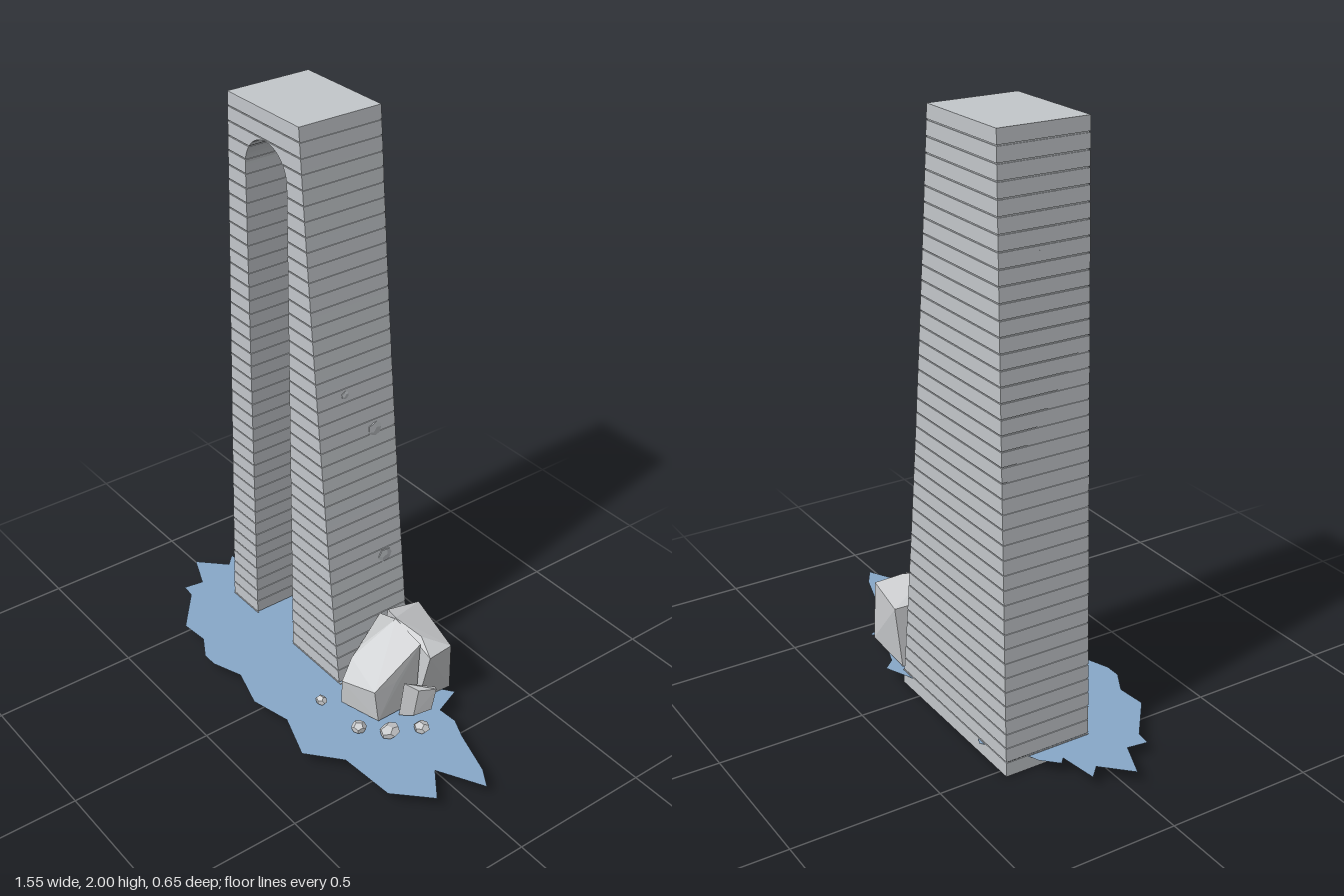
import * as THREE from 'three';
import { mergeGeometries } from 'three/addons/utils/BufferGeometryUtils.js';
import { ConvexGeometry } from 'three/addons/geometries/ConvexGeometry.js';

const FRONT = 0.02, BACK = -0.285, NICHE = -0.15;   // depth planes of the tower
const COURSE = 2 / 41, JOINT = 0.004, INSET = 0.003; // masonry courses
const CX = -0.277, RADIUS = 0.108, SPRING = 1.792;  // arched niche

// Outline of the tower at height y
const leftEdge = y => -0.535 + 0.0315 * y;
const rightEdge = y => 0.106 - 0.106 * y - 0.011 * y * (2 - y);
const nicheHalf = y => y <= SPRING ? RADIUS
  : Math.sqrt(Math.max(0, RADIUS ** 2 - (y - SPRING) ** 2));

// Extruded band between two edge functions
function band(y0, y1, edgeA, edgeB, z0, z1) {
  const n = 5, pts = [];
  for (let i = 0; i <= n; i++) {
    const y = y0 + (y1 - y0) * i / n;
    pts.push(new THREE.Vector2(edgeB(y), y));
    pts.unshift(new THREE.Vector2(edgeA(y), y));
  }
  return new THREE.ExtrudeGeometry(new THREE.Shape(pts), { depth: z1 - z0, bevelEnabled: false })
    .translate(0, 0, z0);
}

// One layer of stone: a full back part and two legs beside the niche
function layer(y0, y1, inset) {
  const a = y => leftEdge(y) + inset, b = y => rightEdge(y) - inset;
  const half = y => { const h = nicheHalf(y); return h > 0 ? h + inset : 0; };
  if (nicheHalf(y0) === 0) return [band(y0, y1, a, b, BACK + inset, FRONT - inset)];
  return [
    band(y0, y1, a, b, BACK + inset, NICHE - inset),
    band(y0, y1, a, y => CX - half(y), NICHE - inset, FRONT - inset),
    band(y0, y1, y => CX + half(y), b, NICHE - inset, FRONT - inset),
  ];
}

function box(x0, x1, z0, z1) {
  return new THREE.BoxGeometry(x1 - x0, COURSE, z1 - z0).toNonIndexed()
    .translate((x0 + x1) / 2, COURSE / 2, (z0 + z1) / 2);
}

export function createModel() {
  const model = new THREE.Group();
  const mat = (name, color, extra = {}) => {
    const m = new THREE.MeshStandardMaterial({ color, ...extra });
    m.name = name;
    return m;
  };
  const stone = mat('stone', 0xc3c7cb);
  const rubble = mat('rubble stone', 0xcaccce, { flatShading: true });
  const water = mat('water', 0x88a8c8, { side: THREE.DoubleSide });
  const add = (name, geometry, material, parent = model) => {
    const mesh = new THREE.Mesh(geometry, material);
    mesh.name = name;
    parent.add(mesh);
    return mesh;
  };

  // Tower courses separated by narrow recessed joints
  const courses = [], joints = [];
  for (let i = 1; i < 41; i++) {
    const y0 = i * COURSE, y1 = y0 + COURSE;
    joints.push(...layer(y0, y0 + JOINT, INSET));
    courses.push(...layer(y0 + JOINT, y1, 0));
  }
  add('towerCourses', mergeGeometries(courses), stone);
  add('towerJoints', mergeGeometries(joints), stone);

  // Hollow footing below the water line
  const L = leftEdge(0), R = rightEdge(0), t = 0.004;
  add('towerFooting', mergeGeometries([
    box(L, R, BACK, BACK + t),
    box(L, L + t, BACK, FRONT),
    box(R - t, R, BACK, FRONT),
    box(L, CX - RADIUS, FRONT - t, FRONT),
    box(CX + RADIUS, R, FRONT - t, FRONT),
  ]), stone);

  // Ragged sheet of water, corners as x, z
  const shore = [
    [-.78, .03], [-.69, -.06], [-.73, -.10], [-.60, -.12], [-.62, -.14], [-.57, -.19], [-.5, -.22],
    [-.395, -.297], [-.3, -.25], [-.1, -.22], [.03, -.28], [.145, -.33], [.18, -.29], [.33, -.24],
    [.37, -.27], [.41, -.17], [.48, -.175], [.55, -.145], [.71, -.095], [.775, -.055], [.62, .03],
    [.72, .105], [.61, .215], [.41, .23], [.30, .325], [.14, .27], [0, .305], [-.14, .265],
    [-.245, .305], [-.3, .305], [-.38, .26], [-.48, .27], [-.62, .155], [-.67, .15], [-.66, .08],
  ].map(([x, z]) => new THREE.Vector2(x, -z));
  add('water', new THREE.ShapeGeometry(new THREE.Shape(shore)).rotateX(-Math.PI / 2)
    .translate(0, 0.046, 0), water);

  // Fallen boulders against the long side
  const boulders = {
    backBoulder: [[.12, .05, -.28], [.34, .05, -.27], [.36, .25, -.25], [.13, .27, -.30], [.36, .24, -.16],
      [.2, .32, -.14], [.11, .28, -.18], [.3, .29, -.17], [.33, .05, -.14], [.1, .05, -.15]],
    frontBoulder: [[.08, .25, -.17], [.2, .315, -.14], [.32, .28, -.15], [.33, .18, -.04], [.17, .24, -.01],
      [.18, .22, .03], [.2, .16, .085], [.33, .18, .05], [.34, .06, .04], [.19, .06, .08],
      [.12, .06, -.05], [.1, .05, -.15], [.33, .05, -.13]],
    smallBoulder: [[.42, .16, -.14], [.40, .17, -.08], [.36, .19, -.05], [.41, .07, -.13], [.35, .05, -.04],
      [.39, .06, -.07], [.32, .1, -.15], [.39, .14, -.16], [.3, .05, -.1]],
  };
  const rocks = new THREE.Group();
  rocks.name = 'rubble';
  model.add(rocks);
  for (const [name, pts] of Object.entries(boulders))
    add(name, new ConvexGeometry(pts.map(p => new THREE.Vector3(...p))), rubble, rocks);

  // Loose pebbles: x, z, width, depth, turn
  [[.45, -.055, .058, .055, .1], [.40, .04, .065, .08, .3], [.325, .11, .052, .055, .8],
    [.145, .13, .045, .034, .2]].forEach(([x, z, w, d, turn]) => {
    const pebble = add('pebble', new THREE.DodecahedronGeometry(0.5, 0), rubble, rocks);
    pebble.scale.set(w, 0.036, d);
    pebble.rotation.y = turn;
    pebble.position.set(x, 0.062, z);
  });

  // Small chips in the long sloping side: y, z, size
  [[.94, -.2, .06], [.46, -.21, .06], [1.1, -.09, .03]].forEach(([y, z, s]) => {
    const chip = add('chip', new THREE.DodecahedronGeometry(0.5, 0), stone);
    chip.scale.set(0.008, s, s);
    chip.rotation.x = y;
    chip.position.set(rightEdge(y), y, z);
  });
  return model;
}
